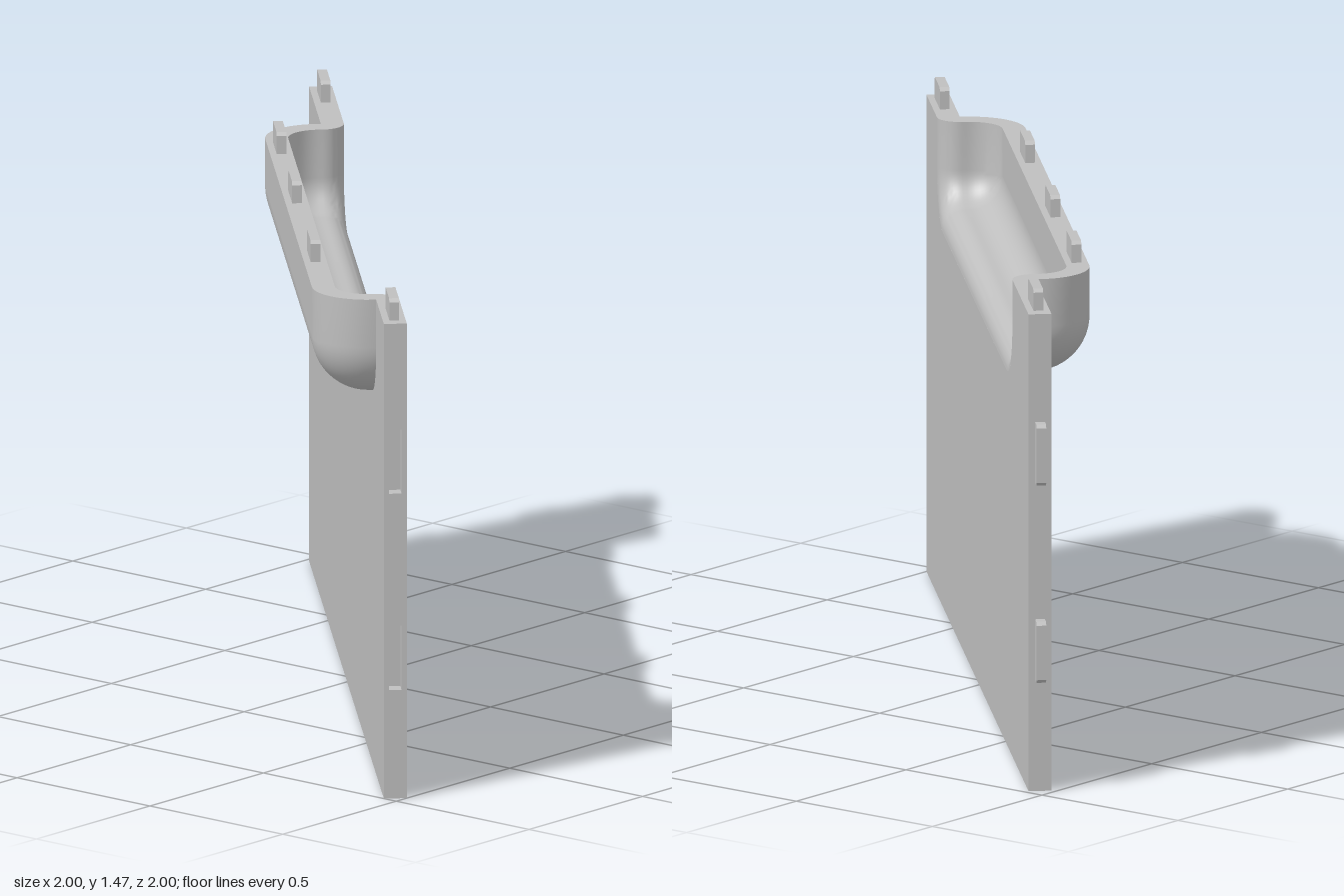
import * as THREE from 'three';
import { toCreasedNormals } from 'three/addons/utils/BufferGeometryUtils.js';

const H = 1.402;              // panel height
const U0 = -1.361, U1 = 1.381; // panel ends
const T = 0.033;              // half thickness
const R = 0.16;               // outer fillet of the bulge
const B0 = -0.93, B1 = 1.10, BY = 1.1; // bulge outline
const FRONT = 0.205;          // bulge front plane
const SLOT = 0.045;           // slot depth
const SEG = 12;

export function createModel() {
  const model = new THREE.Group();
  const panel = new THREE.Group();
  panel.name = 'wallPanel';
  panel.rotation.y = -Math.PI / 4;
  model.add(panel);

  const grey = new THREE.MeshStandardMaterial({ color: 0xbfbfbf });
  grey.name = 'light grey';

  const add = (name, geometry, x = 0, y = 0, z = 0) => {
    const mesh = new THREE.Mesh(geometry, grey);
    mesh.name = name;
    mesh.position.set(x, y, z);
    panel.add(mesh);
    return mesh;
  };

  // Flat sheet with a round-cornered notch behind the bulge
  const sheet = new THREE.Shape();
  sheet.moveTo(U0, 0);
  sheet.lineTo(U1 - SLOT, 0);
  sheet.lineTo(U1 - SLOT, H);
  sheet.lineTo(B1, H);
  sheet.lineTo(B1, BY + R);
  sheet.absarc(B1 - R, BY + R, R, 0, -Math.PI / 2, true);
  sheet.lineTo(B0 + R, BY);
  sheet.absarc(B0 + R, BY + R, R, -Math.PI / 2, -Math.PI, true);
  sheet.lineTo(B0, H);
  sheet.lineTo(U0, H);
  sheet.closePath();
  add('sheet', new THREE.ExtrudeGeometry(sheet, {
    depth: 2 * T, bevelEnabled: false, curveSegments: SEG,
  }), 0, 0, -T);

  // End strip with two slots
  const rect = (Kind, x0, y0, x1, y1) => new Kind([
    [x0, y0], [x1, y0], [x1, y1], [x0, y1],
  ].map(([x, y]) => new THREE.Vector2(x, y)));
  const strip = rect(THREE.Shape, -T, 0, T, H);
  for (const y of [0.32, 0.9]) strip.holes.push(rect(THREE.Path, -0.018, y, 0.018, y + 0.19));
  const stripGeometry = new THREE.ExtrudeGeometry(strip, { depth: SLOT, bevelEnabled: false });
  stripGeometry.rotateY(Math.PI / 2);
  add('slottedEnd', stripGeometry, U1 - SLOT);

  // Bulge wall section as [distance inside the outline, depth]
  const profile = [[0, -T], [0, T]];
  const cn = FRONT - R, ri = R - 2 * T;
  const arc = (cd, cz, r, a0, a1) => {
    for (let i = 0; i <= SEG; i++) {
      const a = a0 + (a1 - a0) * i / SEG;
      profile.push([cd + r * Math.cos(a), cz + r * Math.sin(a)]);
    }
  };
  arc(R, cn, R, Math.PI, Math.PI / 2);
  arc(R, cn, ri, Math.PI / 2, Math.PI);
  arc(0, T, 2 * T, 0, -Math.PI / 2 + 0.001);

  // Stations round the U-shaped outline as [centre x, centre y, angle]
  const stations = [[B0 + R, H, Math.PI]];
  for (const [cx, a0] of [[B0 + R, Math.PI], [B1 - R, 1.5 * Math.PI]]) {
    for (let i = 0; i <= SEG; i++) stations.push([cx, BY + R, a0 + i / SEG * Math.PI / 2]);
  }
  stations.push([B1 - R, H, 2 * Math.PI]);

  const positions = [], indices = [], n = profile.length;
  for (const [cx, cy, a] of stations) {
    for (const [d, z] of profile) {
      positions.push(cx + Math.cos(a) * (R - d), cy + Math.sin(a) * (R - d), z);
    }
  }
  for (let i = 0; i < stations.length - 1; i++) {
    for (let j = 1; j < n - 1; j++) {
      const a = i * n + j, b = a + 1, c = a + n, d = b + n;
      indices.push(a, c, b, b, c, d);
    }
  }
  const rim = new THREE.BufferGeometry();
  rim.setAttribute('position', new THREE.Float32BufferAttribute(positions, 3));
  rim.setIndex(indices);
  add('bulgeRim', toCreasedNormals(rim, 0.6));

  // Top faces of the bulge's two end walls
  for (const [edge, sign] of [[B0, 1], [B1, -1]]) {
    const cap = new THREE.Shape(profile.map(([d, z]) => new THREE.Vector2(edge + sign * d, -z)));
    add('bulgeTop', new THREE.ShapeGeometry(cap).rotateX(-Math.PI / 2), 0, H, 0);
  }

  // Flat front of the bulge
  add('bulgeFront', new THREE.BoxGeometry(B1 - B0 - 2 * R, H - BY - R, 2 * T),
    (B0 + B1) / 2, (H + BY + R) / 2, FRONT - T);

  // Chamfered connecting tabs
  const tabGeometry = (length, height) => {
    const h = length / 2, c = 0.01;
    const outline = new THREE.Shape([
      [-h, 0], [h, 0], [h, height - c], [h - c, height], [c - h, height], [-h, height - c],
    ].map(([x, y]) => new THREE.Vector2(x, y)));
    return new THREE.ExtrudeGeometry(outline, { depth: 0.028, bevelEnabled: false })
      .translate(0, 0, -0.014);
  };
  const topTab = tabGeometry(0.146, 0.063);
  for (const [u, z] of [[-1.245, 0], [-0.665, 0.172], [-0.097, 0.172], [0.582, 0.172], [1.269, 0]]) {
    add('topTab', topTab, u, H, z);
  }
  const sideTab = tabGeometry(0.18, 0.04).rotateZ(Math.PI / 2);
  for (const y of [0.415, 0.995]) add('sideTab', sideTab, U0, y, 0);

  return model;
}
